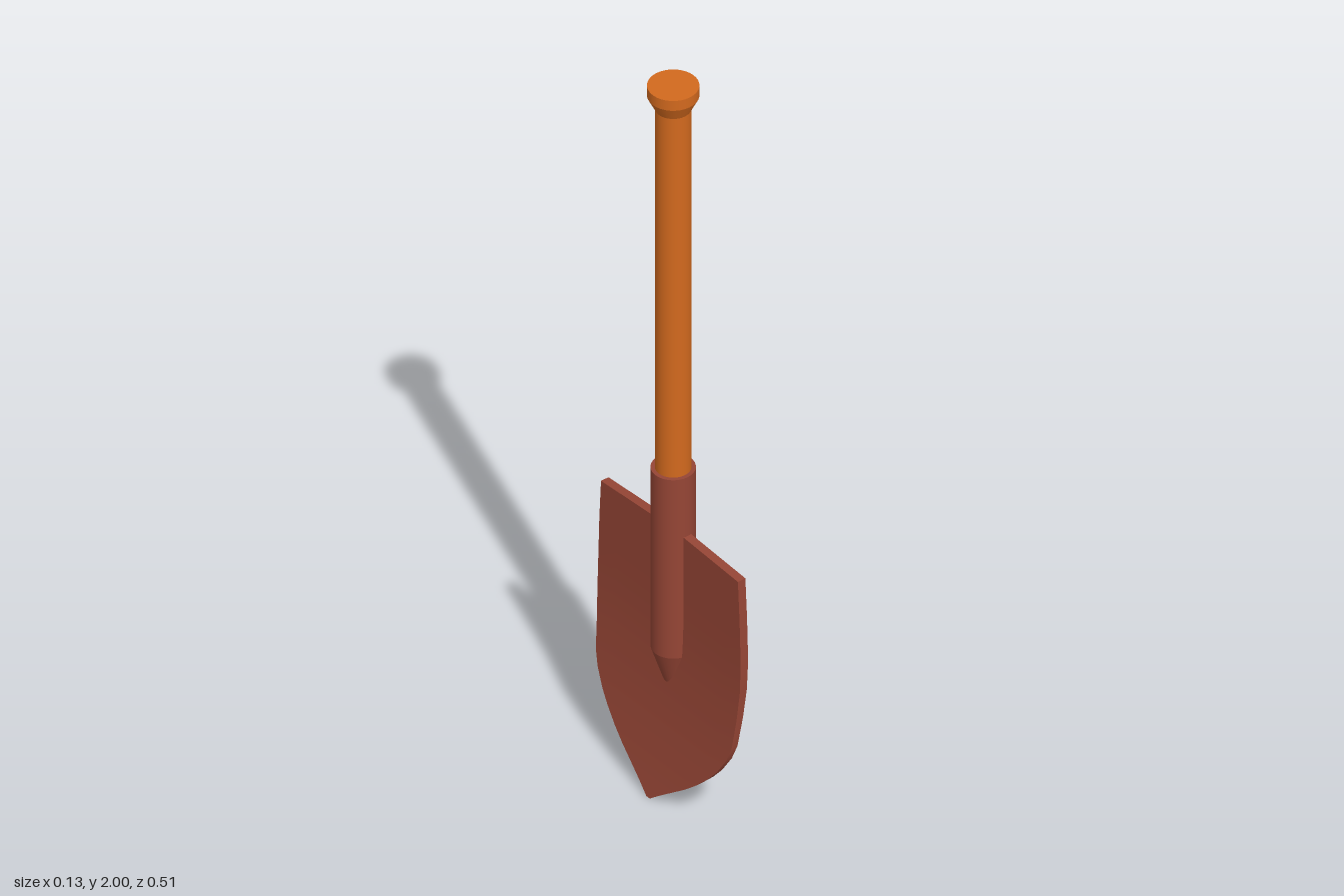
import * as THREE from 'three';

const wood = new THREE.MeshStandardMaterial({ color: 0xd2691e });
const metal = new THREE.MeshStandardMaterial({ color: 0x954535 });
const AXIS_X = 0.006;

// Upright round section between two heights
function turned(name, rTop, rBottom, yBottom, yTop, material) {
  const mesh = new THREE.Mesh(
    new THREE.CylinderGeometry(rTop, rBottom, yTop - yBottom, 32), material);
  mesh.name = name;
  mesh.position.set(AXIS_X, (yTop + yBottom) / 2, 0);
  return mesh;
}

// Thin plate with a pointed outline, its lower half sweeping towards -x
function makeBlade() {
  // [height, half width] from the top edge down to the tip
  const outline = [
    [0.73, 0.247], [0.62, 0.253], [0.5, 0.257], [0.42, 0.257], [0.34, 0.252],
    [0.26, 0.245], [0.22, 0.232], [0.175, 0.206], [0.145, 0.182], [0.11, 0.148],
    [0.08, 0.113], [0.055, 0.079], [0.025, 0.038], [0, 0.006],
  ];
  const rows = outline.length - 1;
  const geometry = new THREE.BoxGeometry(1, 1, 2, 1, rows, 8);
  const p = geometry.attributes.position;
  for (let i = 0; i < p.count; i++) {
    const row = Math.round((0.5 - p.getY(i)) * rows);
    const [y, halfWidth] = outline[row];
    const across = p.getZ(i);
    const t = Math.max(0, (0.5 - y) / 0.5);
    const bend = -0.063 * Math.pow(t, 1.8);
    const thickness = 0.022 - 0.01 * t;
    const peak = row === 0 ? 0.015 * (1 - Math.abs(across)) : 0;
    p.setXYZ(i, -0.005 + bend + (p.getX(i) + 0.5) * thickness, y + peak, across * halfWidth);
  }
  geometry.computeVertexNormals();
  const mesh = new THREE.Mesh(geometry, metal);
  mesh.name = 'blade';
  return mesh;
}

export function createModel() {
  const model = new THREE.Group();
  model.name = 'shovel';
  model.add(
    turned('shaft', 0.042, 0.042, 0.88, 1.94, wood),
    turned('gripFlare', 0.06, 0.042, 1.935, 1.972, wood),
    turned('gripCap', 0.06, 0.06, 1.972, 2, wood),
    turned('socket', 0.052, 0.052, 0.4, 0.91, metal),
    turned('socketPoint', 0.052, 0.012, 0.275, 0.4, metal),
    makeBlade(),
  );
  return model;
}
